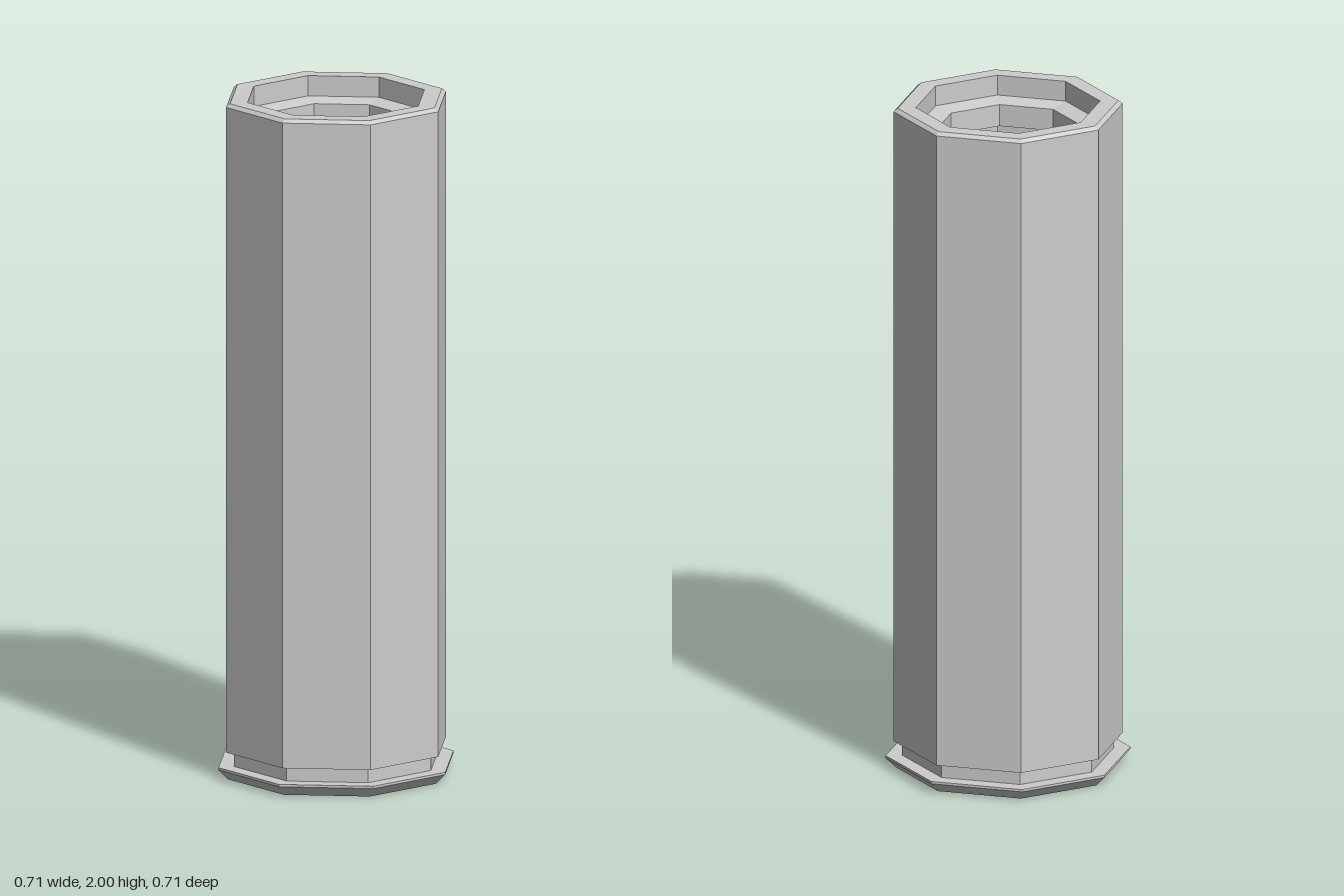
import * as THREE from 'three';

const SIDES = 8;

export function createModel() {
  const group = new THREE.Group();
  group.name = 'hollowCartridge';

  const metal = new THREE.MeshStandardMaterial({ color: 0xcccccc, flatShading: true });
  metal.name = 'light grey';
  const dark = new THREE.MeshStandardMaterial({ color: 0xa0a0a0, flatShading: true });
  dark.name = 'mid grey';

  // Eight-sided turned part from [radius, height] pairs
  const turned = (name, profile, material) => {
    const points = profile.map(([r, y]) => new THREE.Vector2(r, y));
    const mesh = new THREE.Mesh(new THREE.LatheGeometry(points, SIDES), material);
    mesh.name = name;
    group.add(mesh);
  };

  // Flared base rim with a recess in its underside and a groove above
  turned('baseRim', [
    [0.172, 0.03], [0.172, 0.005], [0.172, 0], [0.325, 0],
    [0.355, 0.03], [0.355, 0.037], [0.308, 0.037], [0.308, 0.08],
  ], metal);

  // Disc set into the underside
  turned('primerDisc', [[0, 0.03], [0.172, 0.03]], dark);

  // Long outer wall with a chamfered top lip
  turned('outerWall', [
    [0.308, 0.08], [0.332, 0.08], [0.332, 1.99], [0.32, 2], [0.267, 2], [0.267, 1.94],
  ], metal);

  // Inner ledge, slightly dished, and the cavity below it
  turned('innerLedge', [
    [0.267, 1.94], [0.209, 1.93], [0.209, 1.865], [0.267, 1.865],
  ], metal);
  turned('cavity', [[0.267, 1.865], [0.267, 0.1], [0, 0.1]], metal);

  return group;
}
